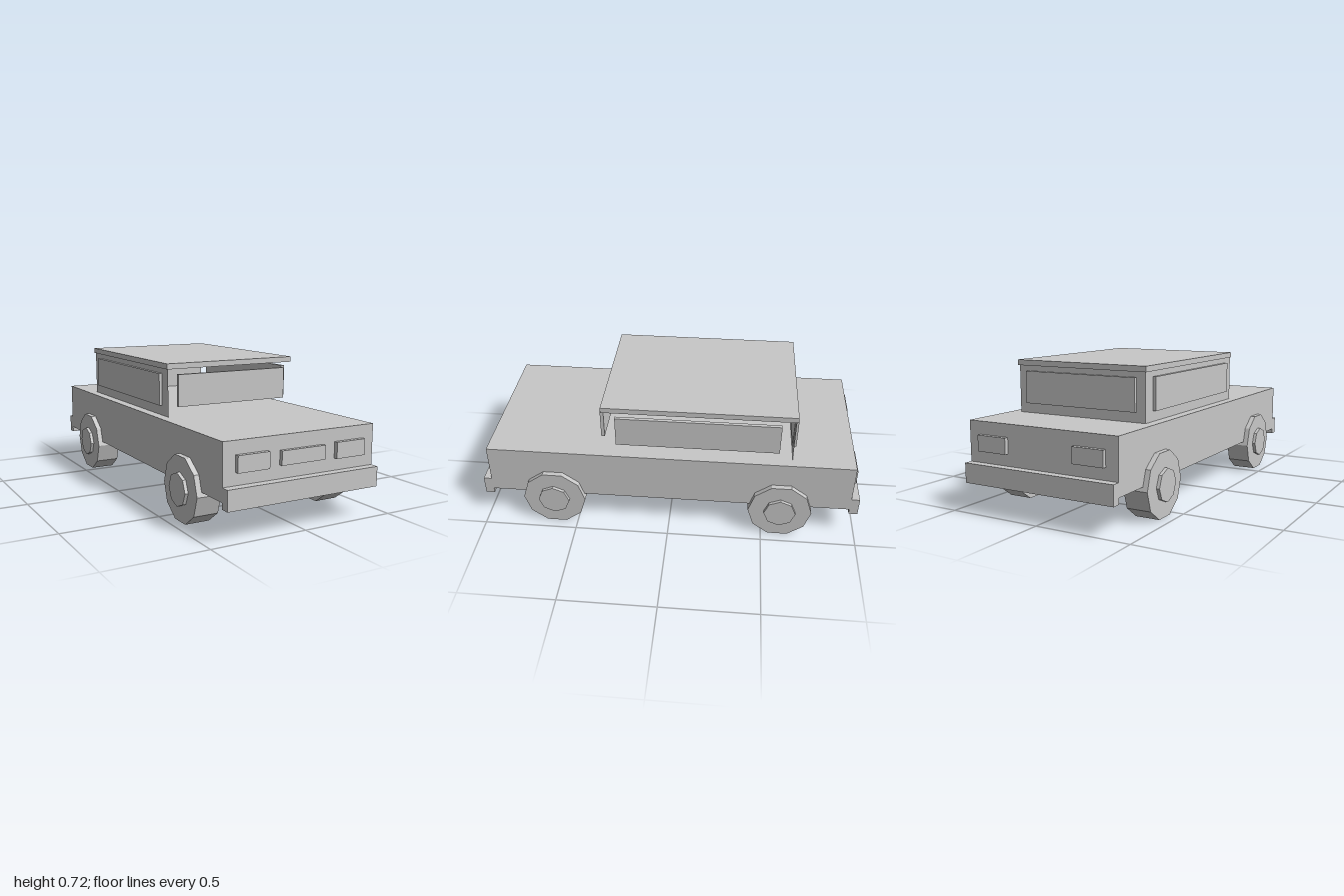
import * as THREE from 'three';

export function createModel() {
  const car = new THREE.Group();
  car.name = 'car';
  const grey = new THREE.MeshStandardMaterial({ color: 0xc8c8c8, flatShading: true, side: THREE.DoubleSide });
  grey.name = 'plain grey';

  const add = (name, geometry, parent = car) => {
    const mesh = new THREE.Mesh(geometry, grey);
    mesh.name = name;
    parent.add(mesh);
    return mesh;
  };
  // Box given by its limits on each axis
  const box = (name, x0, x1, y0, y1, z0, z1) => {
    const mesh = add(name, new THREE.BoxGeometry(x1 - x0, y1 - y0, z1 - z0));
    mesh.position.set((x0 + x1) / 2, (y0 + y1) / 2, (z0 + z1) / 2);
    return mesh;
  };

  // Lower body and bumpers
  box('body', -0.418, 0.418, 0.18, 0.45, -0.957, 0.957);
  box('frontBumper', -0.418, 0.418, 0.15, 0.248, 0.954, 1);
  box('rearBumper', -0.418, 0.418, 0.15, 0.248, -1, -0.954);

  // Cabin: rear wall and one side wall, open at the front and the other side
  const rearWall = add('cabinRearWall', new THREE.PlaneGeometry(0.734, 0.24));
  rearWall.rotation.y = Math.PI;
  rearWall.position.set(0, 0.57, -0.635);
  const sideWall = add('cabinSideWall', new THREE.PlaneGeometry(0.98, 0.24));
  sideWall.rotation.y = -Math.PI / 2;
  sideWall.position.set(-0.367, 0.57, -0.145);
  box('roof', -0.373, 0.373, 0.69, 0.718, -0.643, 0.347);

  // Window panels
  box('windshield', -0.318, 0.318, 0.5, 0.663, 0.343, 0.361);
  box('rearWindow', -0.318, 0.318, 0.5, 0.663, -0.651, -0.631);

  // Lamps and grille
  box('grille', -0.122, 0.122, 0.312, 0.38, 0.95, 0.976);

  for (const [side, s] of [['left', 1], ['right', -1]]) {
    const pair = (name, x0, x1, ...rest) =>
      box(side + name, Math.min(s * x0, s * x1), Math.max(s * x0, s * x1), ...rest);
    pair('SideWindow', 0.363, 0.382, 0.5, 0.663, -0.565, 0.275);
    pair('Headlight', 0.187, 0.353, 0.307, 0.386, 0.95, 0.978);
    pair('TailLight', 0.187, 0.353, 0.307, 0.386, -0.978, -0.95);

    // Ten-sided wheels with eight-sided hubs
    for (const [end, z] of [['Front', 0.615], ['Rear', -0.59]]) {
      const wheel = new THREE.Group();
      wheel.name = side + end + 'Wheel';
      wheel.position.set(0, 0.159, z);
      add('tyre', new THREE.CylinderGeometry(0.167, 0.167, 0.127, 10).rotateZ(Math.PI / 2), wheel).position.x = s * 0.3815;
      add('hub', new THREE.CylinderGeometry(0.083, 0.083, 0.034, 8).rotateZ(Math.PI / 2), wheel).position.x = s * 0.445;
      car.add(wheel);
    }
  }
  return car;
}
